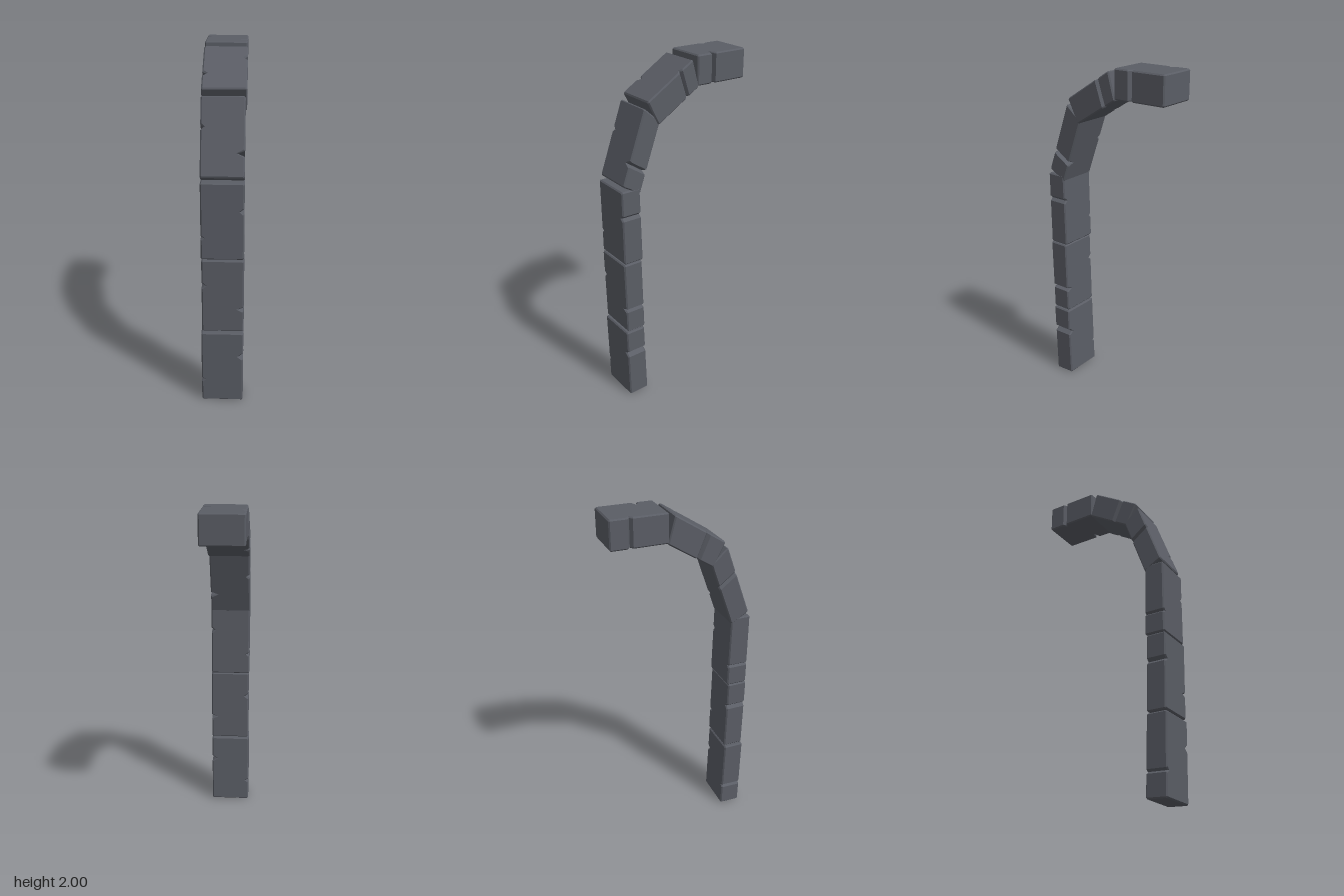
import * as THREE from 'three';

const BEVEL = 0.007;

// Each block: side corners as [z, y] (outer/inner at start, outer/inner at end),
// x range, and notches [position along block, depth, half height] on the +x and -x edges.
const BLOCKS = [
  { name: 'baseBlock', o0: [0.388, 0], i0: [0.265, 0.006], o1: [0.4, 0.452], i1: [0.28, 0.452],
    x: [-0.122, 0.115], left: [0.66, 0.026, 0.02], right: [0.31, 0.014, 0.012] },
  { name: 'lowerBlock', o0: [0.394, 0.462], i0: [0.277, 0.462], o1: [0.404, 0.902], i1: [0.288, 0.902],
    x: [-0.117, 0.116], left: [0.32, 0.03, 0.012], right: [0.65, 0.02, 0.017] },
  { name: 'middleBlock', o0: [0.4, 0.906], i0: [0.279, 0.906], o1: [0.405, 1.342], i1: [0.29, 1.342],
    x: [-0.119, 0.115], left: [0.64, 0.018, 0.016], right: [0.29, 0.014, 0.011] },
  { name: 'firstCurveBlock', o0: [0.393, 1.368], i0: [0.288, 1.308], o1: [0.25, 1.77], i1: [0.155, 1.685],
    x: [-0.12, 0.114], left: [0.3, 0.036, 0.015], right: [0.62, 0.016, 0.014] },
  { name: 'secondCurveBlock', o0: [0.236, 1.802], i0: [0.168, 1.668], o1: [-0.051, 1.983], i1: [-0.093, 1.832],
    x: [-0.119, 0.121], left: [0.72, 0.016, 0.013], right: [0.35, 0.022, 0.015] },
  { name: 'topBlock', o0: [-0.086, 2], i0: [-0.086, 1.836], o1: [-0.405, 2], i1: [-0.405, 1.836],
    x: [-0.118, 0.119], left: [0.33, 0.042, 0.014], right: [0.65, 0.02, 0.014] },
];

const distance = (a, b) => Math.hypot(a[0] - b[0], a[1] - b[1]);
const mix = (a, b, t) => a + (b - a) * t;

// Chamfered slab with a notch in each long edge, bent onto its four side corners
function blockGeometry({ o0, i0, o1, i1, x, left, right }) {
  const length = (distance(o0, o1) + distance(i0, i1)) / 2;
  const thick = (distance(o0, i0) + distance(o1, i1)) / 2;
  const [xa, xb] = x;
  const c = BEVEL;
  const yl = left[0] * length;
  const yr = right[0] * length;
  const outline = [
    [xa + c, 0], [xb - c, 0], [xb, c],
    [xb, yl - left[2]], [xb - left[1], yl], [xb, yl + left[2]],
    [xb, length - c], [xb - c, length], [xa + c, length], [xa, length - c],
    [xa, yr + right[2]], [xa + right[1], yr], [xa, yr - right[2]], [xa, c],
  ];
  const shape = new THREE.Shape(outline.map(([px, py]) => new THREE.Vector2(px, py)));
  const geometry = new THREE.ExtrudeGeometry(shape, {
    depth: thick - 2 * BEVEL, bevelEnabled: true, bevelSegments: 1,
    bevelThickness: BEVEL, bevelSize: BEVEL, bevelOffset: -BEVEL,
  });
  geometry.translate(0, 0, BEVEL);

  const p = geometry.attributes.position;
  for (let i = 0; i < p.count; i++) {
    const v = p.getY(i) / length;
    const w = p.getZ(i) / thick;
    const z = mix(mix(i0[0], i1[0], v), mix(o0[0], o1[0], v), w);
    const y = mix(mix(i0[1], i1[1], v), mix(o0[1], o1[1], v), w);
    p.setXYZ(i, p.getX(i), y, z);
  }
  geometry.computeVertexNormals();
  return geometry;
}

export function createModel() {
  const group = new THREE.Group();
  group.name = 'stoneHalfArch';
  const stone = new THREE.MeshStandardMaterial({ color: 0x5a5d65 });
  stone.name = 'dark grey stone';

  for (const block of BLOCKS) {
    const mesh = new THREE.Mesh(blockGeometry(block), stone);
    mesh.name = block.name;
    group.add(mesh);
  }
  return group;
}
